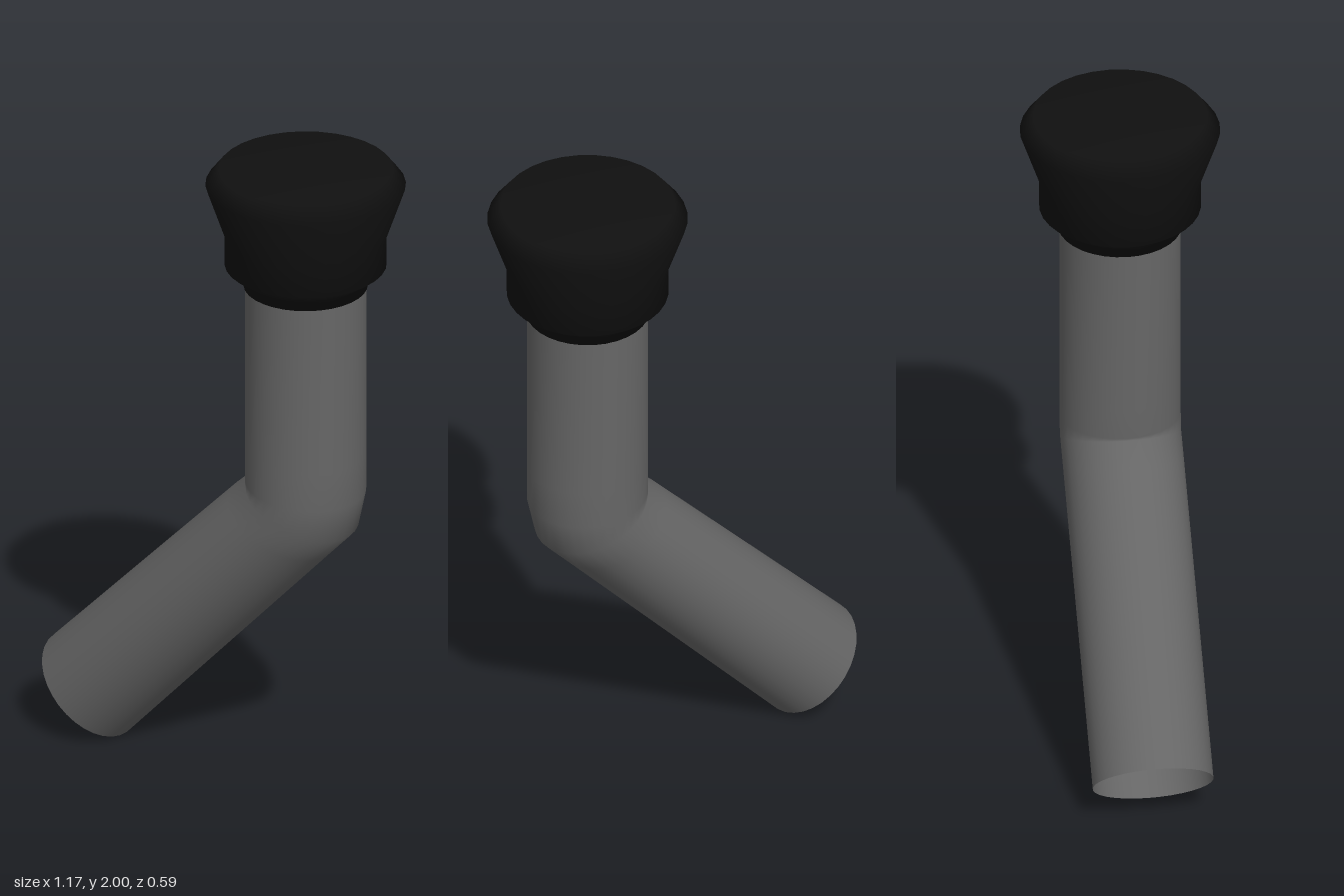
import * as THREE from 'three';

const AXIS_X = 0.288; // axis of the upright pipe and its cap
const RADIUS = 0.18;
const SIDES = 32;

// Smooth open tube through tilted rings, each given by its -x and +x edge points, bottom up
function tubeFromRings(rings) {
  const positions = [], indices = [];
  rings.forEach(([xl, yl, xr, yr], r) => {
    for (let i = 0; i < SIDES; i++) {
      const a = (i / SIDES) * Math.PI * 2;
      const c = Math.cos(a) / 2;
      positions.push((xl + xr) / 2 + c * (xr - xl), (yl + yr) / 2 + c * (yr - yl), RADIUS * Math.sin(a));
      if (r === rings.length - 1) continue;
      const p = r * SIDES + i, q = r * SIDES + ((i + 1) % SIDES);
      indices.push(p, p + SIDES, q, q, p + SIDES, q + SIDES);
    }
  });
  const geometry = new THREE.BufferGeometry();
  geometry.setAttribute('position', new THREE.Float32BufferAttribute(positions, 3));
  geometry.setIndex(indices);
  geometry.computeVertexNormals();
  return geometry;
}

export function createModel() {
  const model = new THREE.Group();
  model.name = 'bentPipe';

  // Pipe: slanted lower length, bevelled elbow, upright upper length, open at the bottom
  const pipe = new THREE.Mesh(
    tubeFromRings([
      [-0.585, 0.262, -0.332, 0.005],
      [0.05, 0.917, 0.365, 0.755],
      [0.112, 0.975, 0.441, 0.836],
      [AXIS_X - RADIUS, 0.985, AXIS_X + RADIUS, 0.955],
      [AXIS_X - RADIUS, 1.08, AXIS_X + RADIUS, 1.08],
      [AXIS_X - RADIUS, 1.64, AXIS_X + RADIUS, 1.64],
    ]),
    new THREE.MeshStandardMaterial({ color: 0x666666, side: THREE.DoubleSide })
  );
  pipe.name = 'pipe';
  model.add(pipe);

  // Cap: stepped collar flaring out to a bevelled flat top
  const profile = [
    [0, 1.62], [0.184, 1.62], [0.184, 1.65], [0.24, 1.69], [0.24, 1.785],
    [0.297, 1.95], [0.258, 2], [0, 2],
  ].map(([r, y]) => new THREE.Vector2(r, y));
  const cap = new THREE.Mesh(
    new THREE.LatheGeometry(profile, SIDES),
    new THREE.MeshStandardMaterial({ color: 0x101010 })
  );
  cap.name = 'cap';
  cap.position.x = AXIS_X;
  model.add(cap);

  return model;
}
